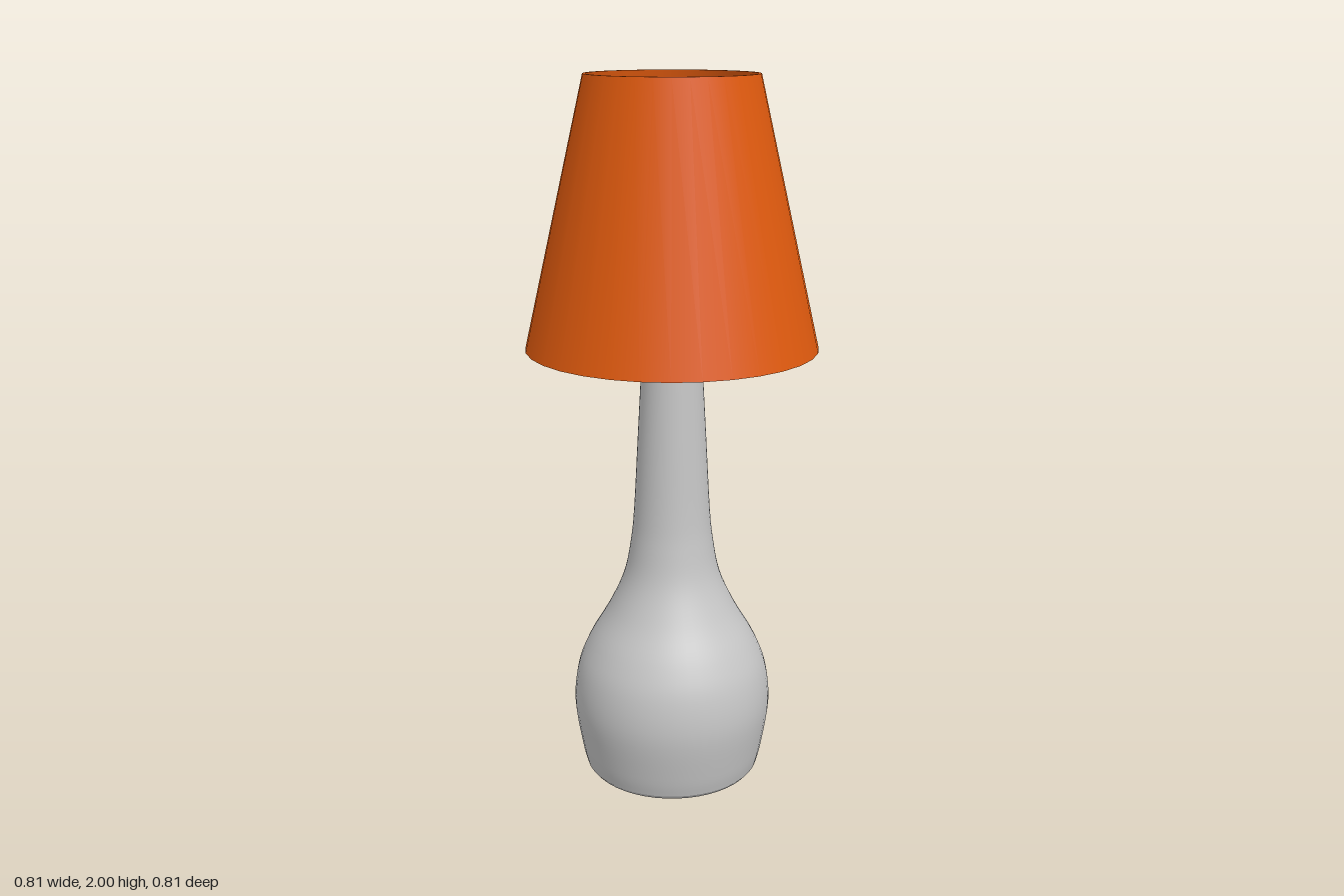
import * as THREE from 'three';

const grey = new THREE.MeshStandardMaterial({ color: 0xc6c6c6 });
grey.name = 'pale grey ceramic';
const orange = new THREE.MeshStandardMaterial({ color: 0xe05a0e });
orange.name = 'orange fabric';

const toPoints = (list) => list.map(([r, y]) => new THREE.Vector2(r, y));

function lathe(name, points, material, sides) {
  const mesh = new THREE.Mesh(new THREE.LatheGeometry(points, sides), material);
  mesh.name = name;
  return mesh;
}

// Square rod between two points
function rod(name, from, to, width) {
  const mesh = new THREE.Mesh(new THREE.BoxGeometry(width, width, from.distanceTo(to)), grey);
  mesh.position.copy(from).add(to).multiplyScalar(0.5);
  mesh.lookAt(to);
  mesh.name = name;
  return mesh;
}

export function createModel() {
  const lamp = new THREE.Group();
  lamp.name = 'tableLamp';

  // Bulbous base drawn up into a slim neck
  const base = new THREE.Group();
  base.name = 'base';
  const curve = new THREE.SplineCurve(toPoints([
    [0.253, 0.012], [0.267, 0.07], [0.286, 0.2], [0.275, 0.31], [0.24, 0.4],
    [0.182, 0.5], [0.138, 0.6], [0.118, 0.7], [0.108, 0.8], [0.097, 1.0],
    [0.083, 1.26], [0.076, 1.42],
  ]));
  const profile = curve.getPoints(55);
  // Rounded top of the neck
  for (let i = 1; i <= 8; i++) {
    const a = (i / 8) * Math.PI / 2;
    profile.push(new THREE.Vector2(i === 8 ? 0 : 0.076 * Math.cos(a), 1.42 + 0.076 * Math.sin(a)));
  }
  base.add(lathe('body', profile, grey, 48));
  base.add(lathe('footBevel', toPoints([[0.243, 0], [0.253, 0.012]]), grey, 48));
  base.add(lathe('underside', toPoints([[0, 0], [0.243, 0]]), grey, 48));
  lamp.add(base);

  // Thin tapered shade, open at both ends
  const shade = new THREE.Group();
  shade.name = 'shade';
  const ring = [[0.405, 1.265], [0.236, 2], [0.228, 2], [0.397, 1.265], [0.405, 1.265]];
  ['outerWall', 'topRim', 'innerWall', 'bottomRim'].forEach((name, i) => {
    shade.add(lathe(name, toPoints([ring[i], ring[i + 1]]), orange, 32));
  });
  lamp.add(shade);

  // Three bent arms carrying the shade
  const arms = new THREE.Group();
  arms.name = 'shadeSupports';
  for (let i = 0; i < 3; i++) {
    const a = THREE.MathUtils.degToRad(40 + i * 120 + 2);
    const at = (r, y) => new THREE.Vector3(r * Math.cos(a), y, r * Math.sin(a));
    arms.add(rod('innerArm', at(0.04, 1.44), at(0.122, 1.47), 0.015));
    arms.add(rod('outerArm', at(0.12, 1.465), at(0.226, 1.96), 0.015));
  }
  lamp.add(arms);

  return lamp;
}
